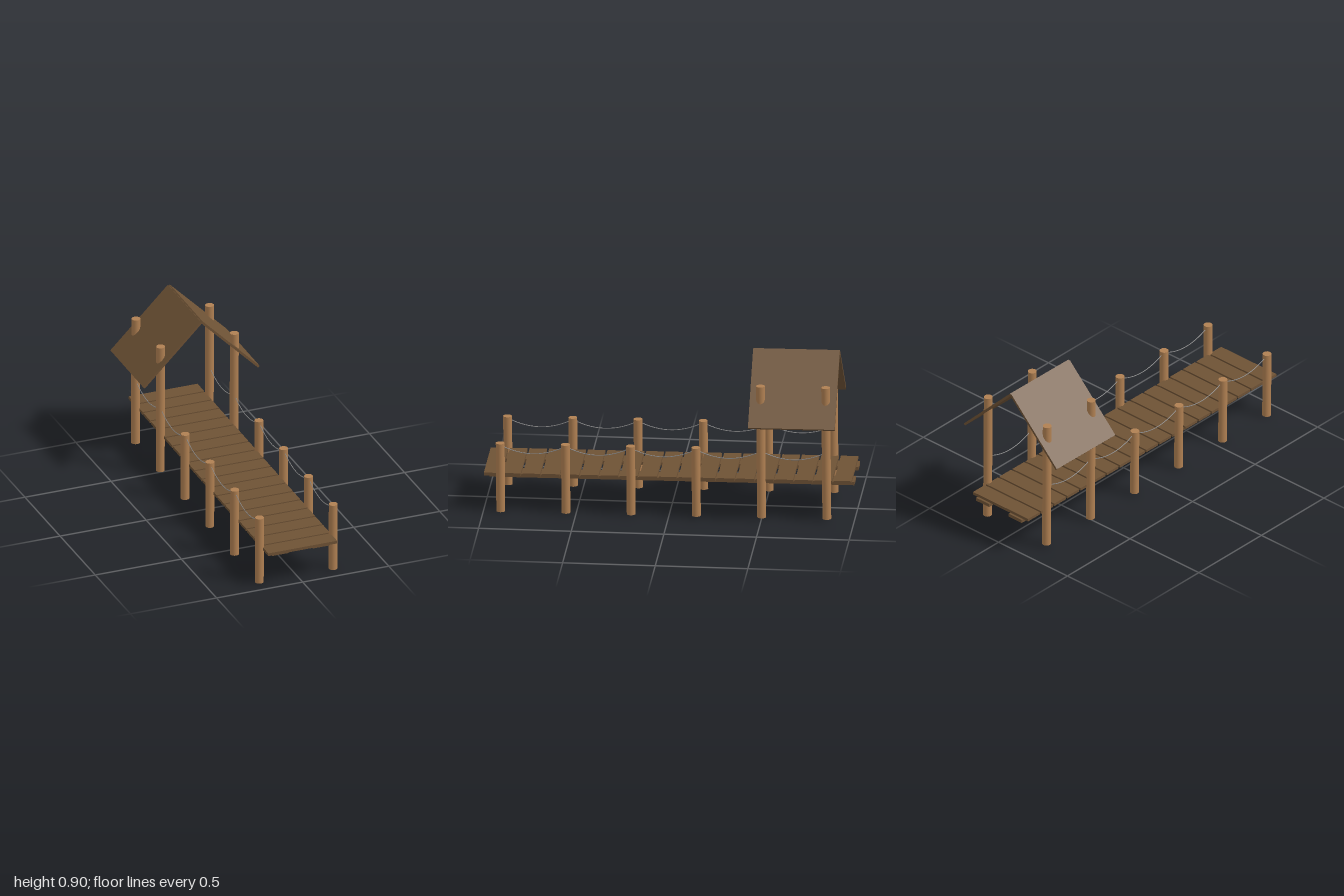
import * as THREE from 'three';

export function createModel() {
  const model = new THREE.Group();
  model.name = 'coveredPier';

  const mat = (name, color) => {
    const m = new THREE.MeshStandardMaterial({ color });
    m.name = name;
    return m;
  };
  const darkWood = mat('dark wood', 0x6e5235);
  const postWood = mat('post wood', 0xb08052);
  const ropeGrey = mat('rope grey', 0x8c8c8c);

  // the whole pier climbs very slightly towards the back
  const pier = new THREE.Group();
  pier.name = 'pier';
  pier.rotation.x = 0.0085;
  pier.position.y = 0.008;
  model.add(pier);

  const add = (name, geometry, material, x, y, z) => {
    const mesh = new THREE.Mesh(geometry, material);
    mesh.name = name;
    mesh.position.set(x, y, z);
    pier.add(mesh);
    return mesh;
  };

  // deck planks
  const plank = new THREE.BoxGeometry(0.4, 0.016, 0.094);
  for (let i = 0; i < 19; i++) {
    add('plank', plank, darkWood, 0, 0.203, 0.951 - i * 0.105);
  }

  const postZ = Array.from({ length: 6 }, (_, i) => 0.907 - i * 0.352);
  const shortPost = new THREE.CylinderGeometry(0.024, 0.024, 0.388, 20);
  const tallPost = new THREE.CylinderGeometry(0.024, 0.024, 0.748, 20);
  const runner = new THREE.BoxGeometry(0.095, 0.019, 1.97);
  const roofSlab = new THREE.BoxGeometry(0.471, 0.013, 0.468);

  // rope sagging between two neighbouring posts
  const span = 0.352;
  const ropePoints = [];
  for (let i = 0; i <= 12; i++) {
    const t = i / 12;
    ropePoints.push(new THREE.Vector3(0, -0.046 * 4 * t * (1 - t), -t * span));
  }
  const rope = new THREE.TubeGeometry(new THREE.CatmullRomCurve3(ropePoints), 24, 0.0022, 6);

  for (const side of [-1, 1]) {
    // flat beams under the planks
    add('runner', runner, darkWood, side * 0.118, 0.1855, -0.014);

    // posts: the last two pairs carry the roof
    postZ.forEach((z, i) => {
      const tall = i > 3;
      add(tall ? 'roofPost' : 'railPost', tall ? tallPost : shortPost, postWood,
        side * 0.214, tall ? 0.374 : 0.194, z);
      if (i < 5) add('rope', rope, ropeGrey, side * 0.214, 0.376, z);
    });

    // gable roof half
    const slab = add('roofSlab', roofSlab, darkWood, side * 0.167, 0.714, -0.677);
    slab.rotation.z = -side * Math.PI / 4;
  }

  return model;
}
